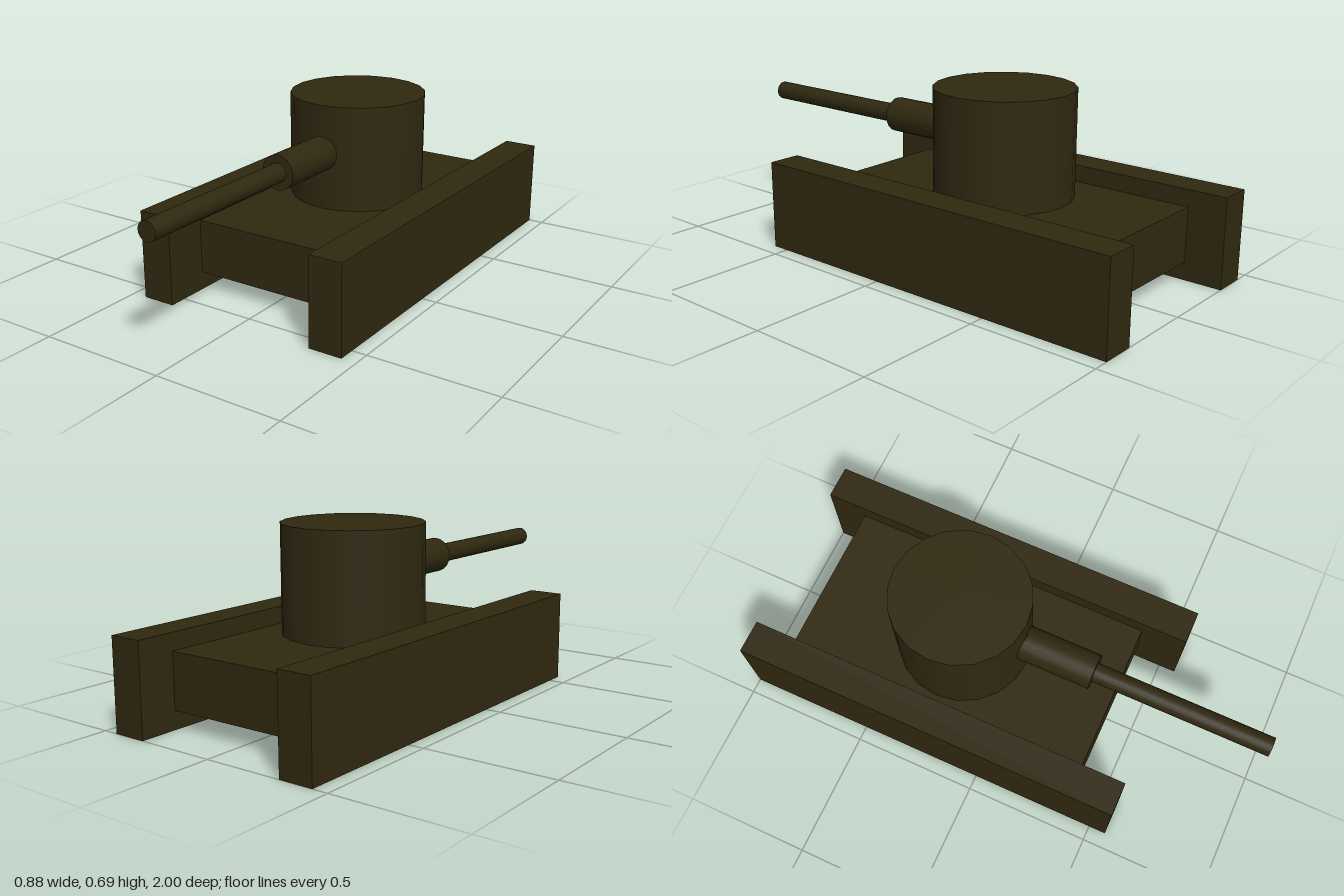
import * as THREE from 'three';

export function createModel() {
  const model = new THREE.Group();
  model.name = 'tank';
  const material = new THREE.MeshStandardMaterial({ color: 0x2f2810 });

  const add = (name, geometry, x, y, z) => {
    const mesh = new THREE.Mesh(geometry, material);
    mesh.name = name;
    mesh.position.set(x, y, z);
    model.add(mesh);
    return mesh;
  };

  // Hull slung between the two tracks
  add('hull', new THREE.BoxGeometry(0.618, 0.213, 1.24), 0, 0.177, -0.23);
  for (const [name, side] of [['leftTrack', 1], ['rightTrack', -1]]) {
    add(name, new THREE.BoxGeometry(0.133, 0.35, 1.568), side * 0.375, 0.175, -0.216);
  }

  // Turret, set very slightly off centre
  const turretX = -0.005, turretZ = -0.24;
  add('turret', new THREE.CylinderGeometry(0.267, 0.267, 0.412, 20), turretX, 0.489, turretZ);

  // Gun parts run forward from inside the turret
  const gunPart = (name, radius, start, end) => {
    const geometry = new THREE.CylinderGeometry(radius, radius, end - start, 20).rotateX(Math.PI / 2);
    add(name, geometry, turretX, 0.505, (start + end) / 2);
  };
  gunPart('gunSleeve', 0.068, -0.1, 0.305);
  gunPart('gunBarrel', 0.037, 0.2, 1);

  return model;
}
